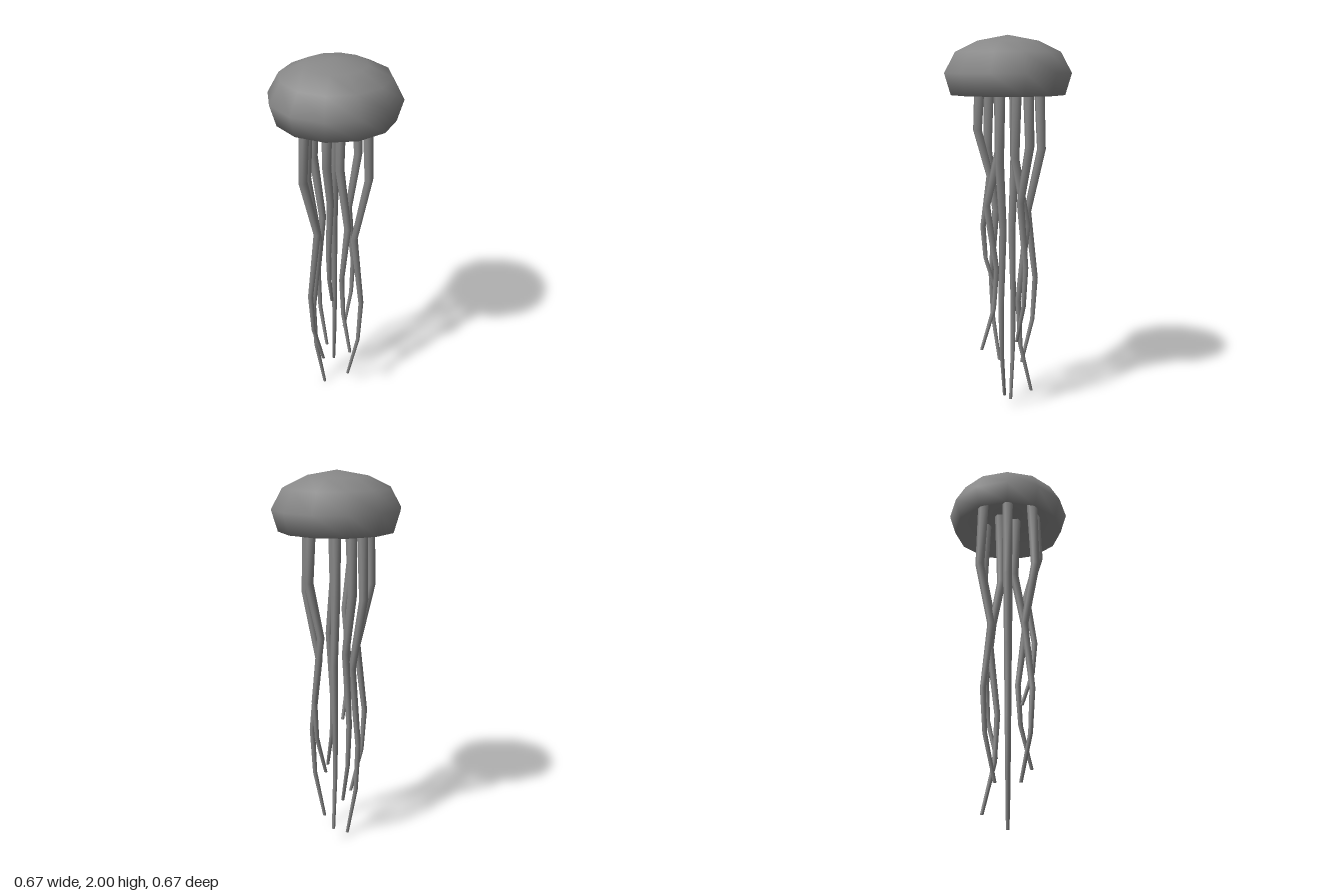
import * as THREE from 'three';
import { mergeVertices } from 'three/addons/utils/BufferGeometryUtils.js';

const material = new THREE.MeshStandardMaterial({ color: 0x888888 });

// Fractions of the tentacle length at which it bends
const STEPS = [0, 0.25, 0.46, 0.7, 0.85, 1];
// Distance from the axis at each bend, relative to the root
const OUTER_SWAY = [1, 1.1, 0.65, 0.92, 0.83, 0.47];
const INNER_SWAY = [1, 0.8, 2.2, 1.2, 1.5, 2.8];
const ROOT_Y = 1.8;

// Joins seams and poles so the whole surface shades smoothly
function smooth(geometry) {
  geometry.deleteAttribute('uv');
  geometry.deleteAttribute('normal');
  const merged = mergeVertices(geometry);
  merged.computeVertexNormals();
  return merged;
}

// Twelve-sided bell: hollow underside, rim, bulge and shallow crown
function createBell() {
  const profile = [
    [0, 1.83], [0.14, 1.815], [0.25, 1.76], [0.3, 1.7],
    [0.333, 1.81], [0.275, 1.915], [0.16, 1.97], [0, 2],
  ].map(([r, y]) => new THREE.Vector2(r, y));
  const bell = new THREE.Mesh(smooth(new THREE.LatheGeometry(profile, 12)), material);
  bell.name = 'bell';
  return bell;
}

// Tapered tube whose rings are shifted sideways along a swaying path
function createTentacle(rootX, rootZ, tipY, sway) {
  const last = STEPS.length - 1;
  const geometry = new THREE.CylinderGeometry(1, 1, 1, 6, last);
  const pos = geometry.attributes.position;
  for (let i = 0; i < pos.count; i++) {
    const ring = Math.round((0.5 - pos.getY(i)) * last);
    const t = STEPS[ring];
    const radius = THREE.MathUtils.lerp(0.029, 0.009, t);
    pos.setXYZ(
      i,
      rootX * sway[ring] + pos.getX(i) * radius,
      THREE.MathUtils.lerp(ROOT_Y, tipY, t),
      rootZ * sway[ring] + pos.getZ(i) * radius,
    );
  }
  return new THREE.Mesh(smooth(geometry), material);
}

export function createModel() {
  const model = new THREE.Group();
  model.name = 'jellyfish';
  model.add(createBell());

  // Root x, root z, tip height, sway
  const tentacles = [
    [0.157, 0, 0.08, OUTER_SWAY],
    [0.036, 0.043, 0.34, INNER_SWAY],
    [-0.015, 0.154, 0.65, OUTER_SWAY],
    [-0.126, 0.136, 0.23, OUTER_SWAY],
    [-0.134, 0, 0, OUTER_SWAY],
    [-0.126, -0.136, 0.23, OUTER_SWAY],
    [-0.01, -0.045, 0.08, INNER_SWAY],
    [0.09, -0.127, 0.38, OUTER_SWAY],
  ];
  tentacles.forEach((spec, i) => {
    const tentacle = createTentacle(...spec);
    tentacle.name = `tentacle${i + 1}`;
    model.add(tentacle);
  });
  return model;
}
